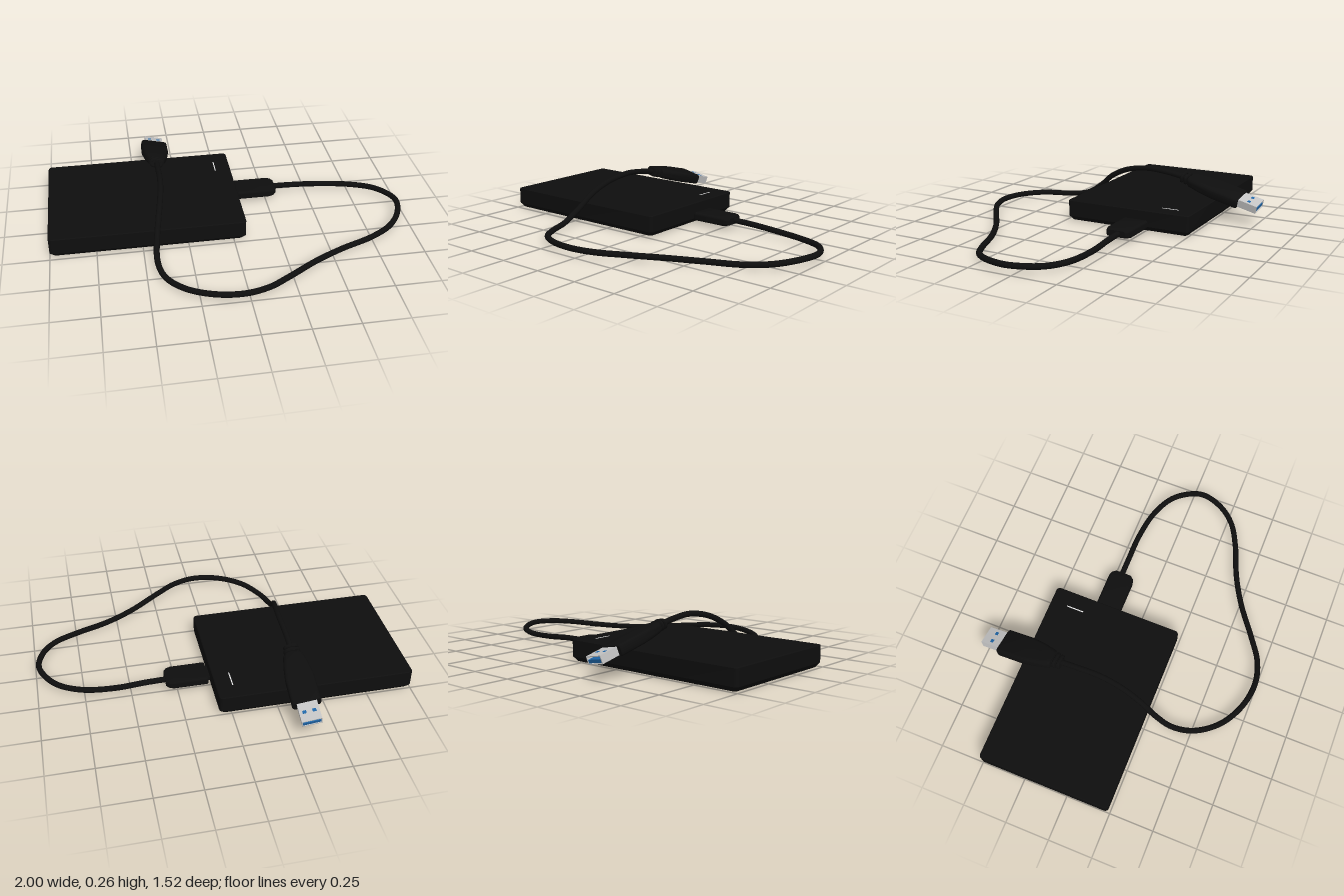
import * as THREE from 'three';
import { toCreasedNormals } from 'three/addons/utils/BufferGeometryUtils.js';

const black = new THREE.MeshStandardMaterial({ color: 0x0e0e0e });
black.name = 'black plastic';
const metal = new THREE.MeshStandardMaterial({ color: 0xc4c4c4 });
metal.name = 'plug metal';
const blue = new THREE.MeshStandardMaterial({ color: 0x1f66a8 });
blue.name = 'blue insert';
const white = new THREE.MeshStandardMaterial({ color: 0xe8e8e8 });
white.name = 'indicator white';

function add(parent, name, geometry, material, x = 0, y = 0, z = 0) {
  const mesh = new THREE.Mesh(geometry, material);
  mesh.name = name;
  mesh.position.set(x, y, z);
  parent.add(mesh);
  return mesh;
}

// Solid through rounded rectangles [width, height, corner radius, z]
function loft(sections, steps = 4) {
  const pos = [], index = [], n = 4 * (steps + 1);
  for (const [w, h, r, z] of sections) {
    for (let c = 0; c < 4; c++) {
      const sx = c === 0 || c === 3 ? 1 : -1, sy = c < 2 ? 1 : -1;
      for (let k = 0; k <= steps; k++) {
        const a = (c + k / steps) * Math.PI / 2;
        pos.push(sx * (w / 2 - r) + r * Math.cos(a), sy * (h / 2 - r) + r * Math.sin(a), z);
      }
    }
  }
  const last = sections.length - 1;
  for (let i = 0; i < last; i++) {
    for (let j = 0; j < n; j++) {
      const a = i * n + j, b = i * n + (j + 1) % n;
      index.push(a, b, b + n, a, b + n, a + n);
    }
  }
  const start = pos.length / 3;
  pos.push(0, 0, sections[0][3], 0, 0, sections[last][3]);
  for (let j = 0; j < n; j++) {
    const k = (j + 1) % n;
    index.push(start, k, j, start + 1, last * n + j, last * n + k);
  }
  const g = new THREE.BufferGeometry();
  g.setAttribute('position', new THREE.Float32BufferAttribute(pos, 3));
  g.setIndex(index);
  return toCreasedNormals(g, 0.5);
}

function createDrive() {
  const drive = new THREE.Group();
  drive.name = 'drive';
  // Case with a chamfered underside
  const shell = loft([
    [1.028, 0.706, 0.015, 0.01],
    [1.068, 0.746, 0.02, 0.035],
    [1.068, 0.746, 0.02, 0.123],
    [1.06, 0.738, 0.016, 0.127],
  ]).rotateX(-Math.PI / 2);
  add(drive, 'case', shell, black, -0.466, 0, -0.135);
  add(drive, 'indicatorLight', new THREE.BoxGeometry(0.006, 0.003, 0.1), white, -0.022, 0.127, -0.362);
  return drive;
}

function createSidePlug() {
  const plug = new THREE.Group();
  plug.name = 'sidePlug';
  // Moulded grip, tapering towards the cable
  const grip = loft([
    [0.14, 0.042, 0.012, 0],
    [0.148, 0.048, 0.014, 0.006],
    [0.148, 0.048, 0.014, 0.19],
    [0.134, 0.044, 0.014, 0.215],
    [0.1, 0.036, 0.012, 0.23],
  ]).rotateY(Math.PI / 2);
  add(plug, 'sideGrip', grip, black, 0.08, 0.053, -0.2);
  add(plug, 'sideContact', new THREE.BoxGeometry(0.04, 0.022, 0.1), black, 0.065, 0.053, -0.2);
  return plug;
}

function createEndPlug() {
  // Local -z points at the plug tip
  const plug = new THREE.Group();
  plug.name = 'endPlug';
  const grip = loft([
    [0.148, 0.054, 0.016, -0.362],
    [0.156, 0.06, 0.018, -0.355],
    [0.156, 0.06, 0.018, -0.2],
    [0.138, 0.06, 0.022, -0.12],
    [0.11, 0.056, 0.024, -0.05],
    [0.092, 0.05, 0.022, -0.035],
  ]);
  add(plug, 'endGrip', grip, black);
  // Ribbed strain relief
  add(plug, 'reliefCore', loft([[0.06, 0.036, 0.017, -0.05], [0.05, 0.034, 0.016, 0.02]]), black);
  [[-0.018, 0.09], [0.008, 0.082]].forEach(([z, w]) => {
    const rib = loft([[w - 0.012, 0.044, 0.02, -0.009], [w, 0.056, 0.024, -0.004],
      [w, 0.056, 0.024, 0.004], [w - 0.014, 0.042, 0.02, 0.009]]);
    add(plug, 'reliefRib', rib, black, 0, 0, z);
  });
  // Open metal sleeve
  const w = 0.106, h = 0.044, t = 0.005, len = 0.12, z = -0.415;
  for (const s of [-1, 1]) {
    add(plug, 'sleeveFlat', new THREE.BoxGeometry(w, t, len), metal, 0, s * (h - t) / 2, z);
    add(plug, 'sleeveSide', new THREE.BoxGeometry(t, h, len), metal, s * (w - t) / 2, 0, z);
    // Latch windows on both flats
    for (const x of [-0.026, 0.026]) {
      add(plug, 'latchWindow', new THREE.BoxGeometry(0.02, 0.002, 0.018), blue, x, s * h / 2, -0.418);
    }
  }
  add(plug, 'insert', new THREE.BoxGeometry(w - 2 * t, 0.018, len - 0.004), blue, 0, -0.006, z + 0.001);
  plug.position.set(-0.369, 0.226, -0.3);
  plug.rotation.set(-0.245, -0.03, -0.2);
  return plug;
}

function createCable() {
  const points = [
    [0.29, 0.053, -0.207], [0.42, 0.05, -0.208], [0.58, 0.04, -0.208], [0.76, 0.035, -0.18],
    [0.89, 0.04, -0.115], [0.96, 0.047, -0.02], [0.98, 0.05, 0.06], [0.945, 0.046, 0.18],
    [0.87, 0.036, 0.275], [0.75, 0.026, 0.345], [0.56, 0.023, 0.42], [0.4, 0.028, 0.505],
    [0.22, 0.04, 0.63], [0.1, 0.047, 0.705], [-0.03, 0.05, 0.738], [-0.18, 0.046, 0.715],
    [-0.32, 0.036, 0.635], [-0.41, 0.025, 0.51], [-0.437, 0.04, 0.39], [-0.428, 0.1, 0.29],
    [-0.408, 0.175, 0.2], [-0.388, 0.225, 0.1], [-0.375, 0.249, 0], [-0.37, 0.255, -0.08],
    [-0.37, 0.245, -0.19], [-0.369, 0.226, -0.3],
  ].map((p) => new THREE.Vector3(...p));
  return new THREE.TubeGeometry(new THREE.CatmullRomCurve3(points), 200, 0.016, 12);
}

export function createModel() {
  const model = new THREE.Group();
  model.name = 'portableDrive';
  model.add(createDrive(), createSidePlug(), createEndPlug());
  add(model, 'cable', createCable(), black);
  return model;
}
